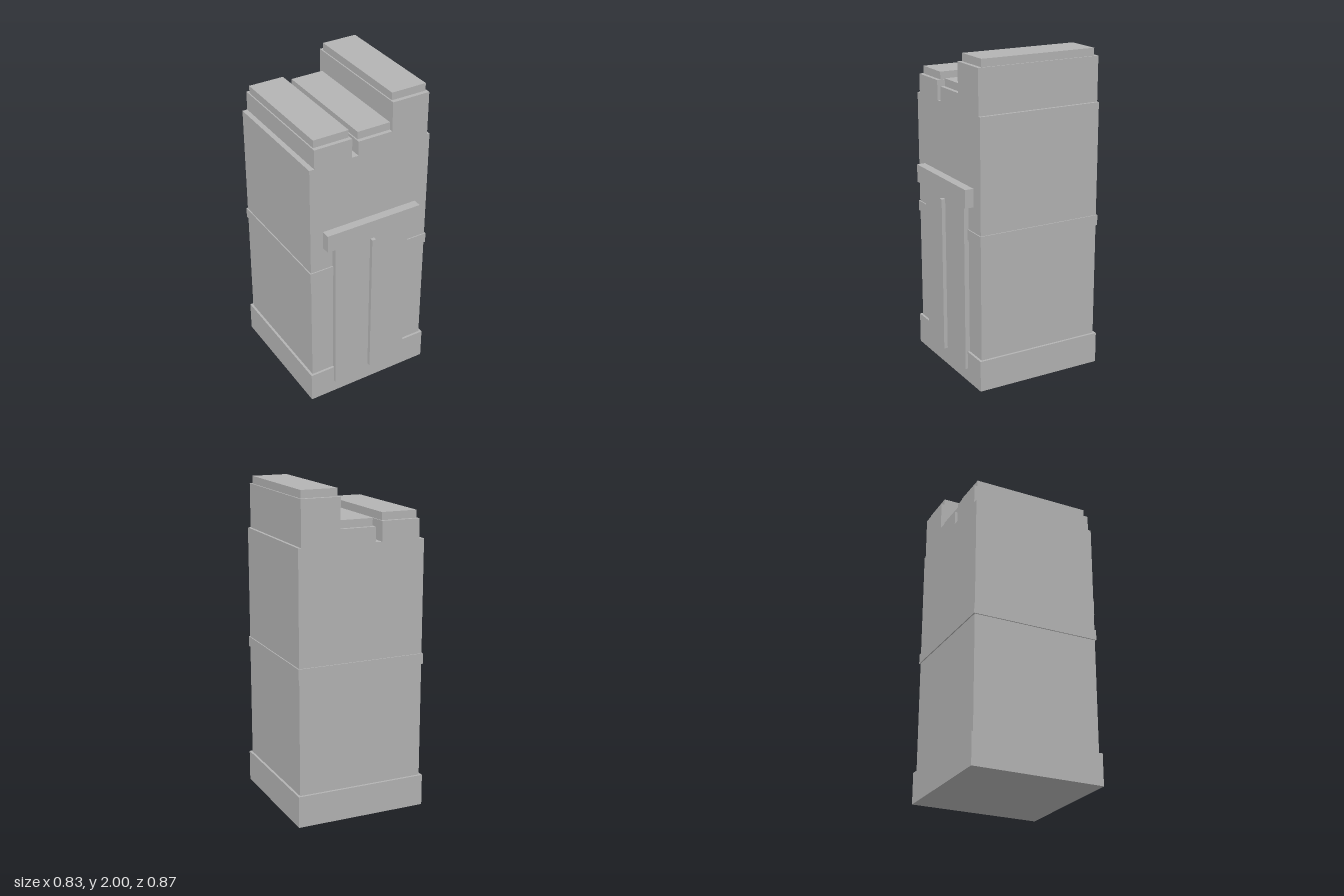
import * as THREE from 'three';

const stone = new THREE.MeshStandardMaterial({ color: 0xb3b3b3 });
stone.name = 'grey stone';

export function createModel() {
  const model = new THREE.Group();
  model.name = 'tower';

  // Box given by its lower and upper limits on each axis
  function block(name, [x0, x1], [y0, y1], [z0, z1]) {
    const mesh = new THREE.Mesh(new THREE.BoxGeometry(x1 - x0, y1 - y0, z1 - z0), stone);
    mesh.position.set((x0 + x1) / 2, (y0 + y1) / 2, (z0 + z1) / 2);
    mesh.name = name;
    model.add(mesh);
  }

  // Main shaft with plinth and belt course
  const depth = [-0.42, 0.38];
  block('plinth', [-0.415, 0.415], [0, 0.196], [-0.435, 0.395]);
  block('shaft', [-0.4, 0.4], [0.196, 1.68], depth);
  block('beltCourse', [-0.407, 0.407], [0.915, 0.98], [-0.427, 0.387]);

  // Stepped roof blocks, each with a slightly inset cap
  const roofs = [
    { name: 'right', x: [-0.368, -0.125], cap: [-0.36, -0.133], top: 1.8, capTop: 1.847 },
    { name: 'middle', x: [-0.083, 0.139], cap: [-0.075, 0.139], top: 1.77, capTop: 1.817 },
    { name: 'left', x: [0.139, 0.382], cap: [0.147, 0.373], top: 1.953, capTop: 2 },
  ];
  for (const { name, x, cap, top, capTop } of roofs) {
    block(name + 'RoofBlock', x, [1.68, top], depth);
    block(name + 'RoofCap', cap, [top, capTop], [-0.395, 0.355]);
  }

  // Front door with lintel and centre strip
  block('door', [-0.252, 0.252], [0.083, 1.135], [0.37, 0.41]);
  block('doorStrip', [-0.013, 0.013], [0.128, 1.106], [0.41, 0.434]);
  block('lintel', [-0.317, 0.317], [1.133, 1.245], [0.37, 0.435]);

  return model;
}
